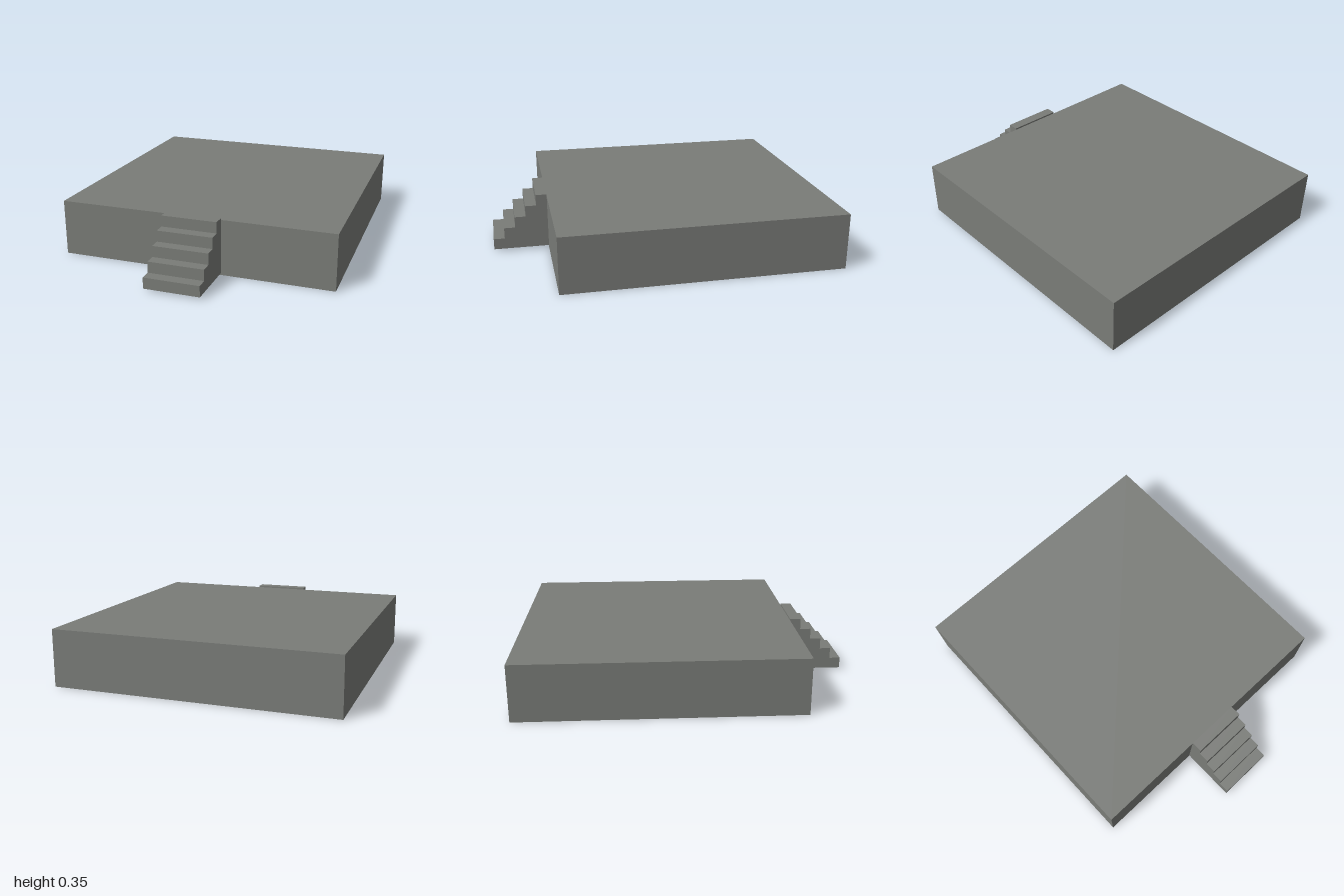
import * as THREE from 'three';

const STEPS = 5, RUN = 1 / 15, RISE = 1 / 15;
const FRONT = 2 / 3, STAIR_WIDTH = 1 / 3, STAIR_BASE = 0.0135;
const WIDTH = 5 / 3, BASE = 0.0035, HEIGHT = 1 / 3;

export function createModel() {
  const model = new THREE.Group();
  const stone = new THREE.MeshStandardMaterial({ color: 0x7a7c78 });
  stone.name = 'grey stone';

  const add = (name, geometry, x, y, z) => {
    const mesh = new THREE.Mesh(geometry, stone);
    mesh.name = name;
    mesh.position.set(x, y, z);
    model.add(mesh);
    return mesh;
  };

  // Square raised platform
  add('platform', new THREE.BoxGeometry(WIDTH, HEIGHT, WIDTH), 0, BASE + HEIGHT / 2, FRONT - WIDTH / 2);

  // Thin footing the platform rests on
  add('footing', new THREE.BoxGeometry(WIDTH, BASE, WIDTH), 0, BASE / 2, FRONT - WIDTH / 2);

  // Stair side profile: shape x is the distance out from the platform
  const profile = new THREE.Shape();
  profile.moveTo(0, 0);
  profile.lineTo(STEPS * RUN, 0);
  for (let i = 0; i < STEPS; i++) {
    const out = (STEPS - i) * RUN, top = (i + 1) * RISE;
    profile.lineTo(out, top);
    profile.lineTo(out - RUN, top);
  }
  profile.closePath();

  // Extruded across the width, then turned so the flight descends to the front
  const flight = new THREE.ExtrudeGeometry(profile, { depth: STAIR_WIDTH, bevelEnabled: false });
  flight.translate(0, 0, -STAIR_WIDTH / 2);
  flight.rotateY(-Math.PI / 2);
  add('stairs', flight, 0, STAIR_BASE, FRONT);

  return model;
}
